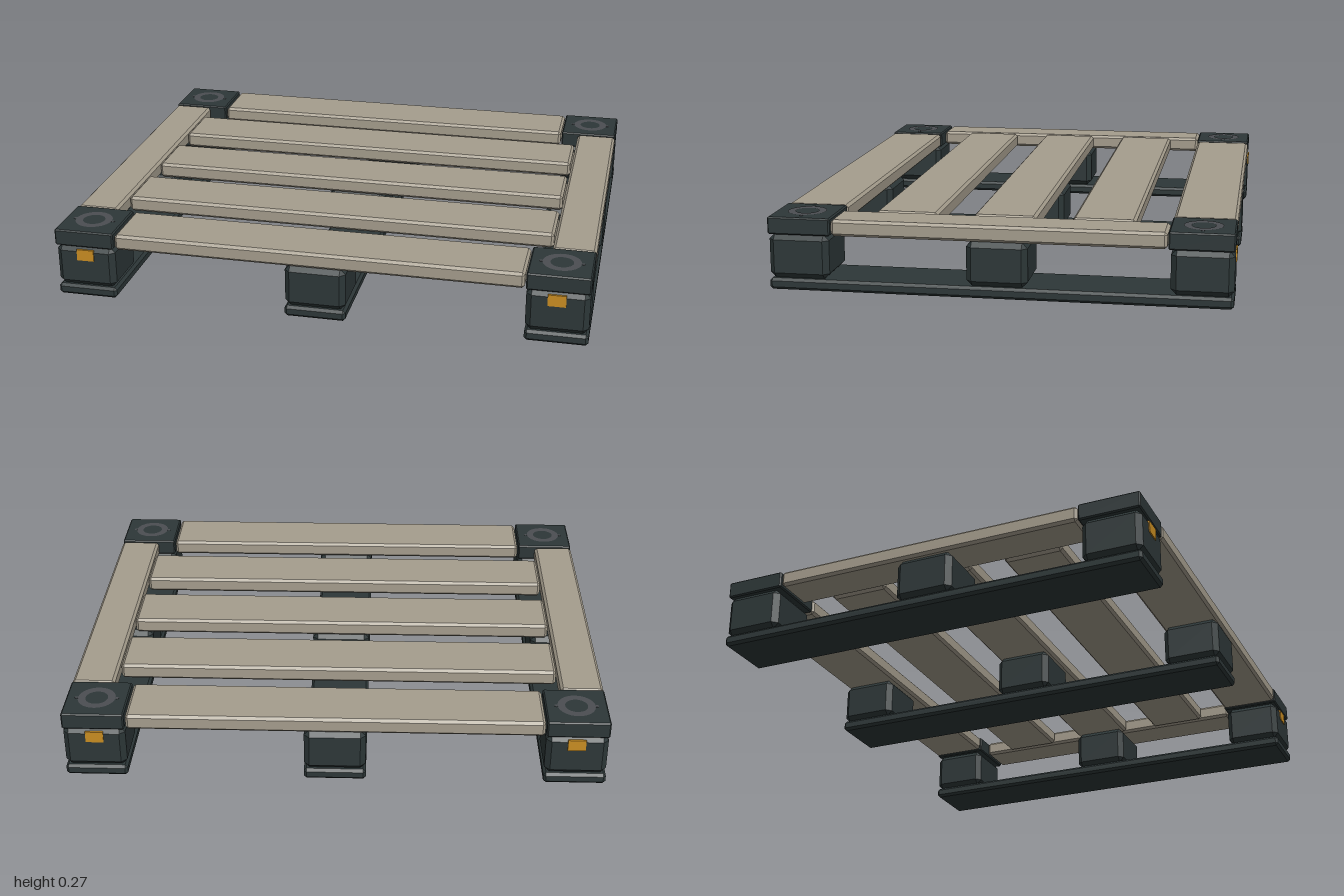
import * as THREE from 'three';
import { ConvexGeometry } from 'three/addons/geometries/ConvexGeometry.js';

const material = (name, color) => {
  const m = new THREE.MeshStandardMaterial({ color });
  m.name = name;
  return m;
};

// Box with flat chamfers of size c on every edge and corner
function chamferBox(w, h, d, c) {
  const points = [];
  for (const sx of [-1, 1]) for (const sy of [-1, 1]) for (const sz of [-1, 1]) {
    const x = w / 2, y = h / 2, z = d / 2;
    points.push(
      new THREE.Vector3(sx * x, sy * (y - c), sz * (z - c)),
      new THREE.Vector3(sx * (x - c), sy * y, sz * (z - c)),
      new THREE.Vector3(sx * (x - c), sy * (y - c), sz * z));
  }
  return new ConvexGeometry(points);
}

export function createModel() {
  const wood = material('weathered wood', 0xa59d8d);
  const dark = material('dark plastic', 0x2d3738);
  const grey = material('grey rim', 0x4b4e52);
  const amber = material('amber tag', 0xc98d22);

  const pallet = new THREE.Group();
  pallet.name = 'pallet';

  const add = (name, geometry, mat, x, y, z) => {
    const mesh = new THREE.Mesh(geometry, mat);
    mesh.name = name;
    mesh.position.set(x, y, z);
    pallet.add(mesh);
    return mesh;
  };

  // Three runners, each carrying three spacer blocks
  const runner = chamferBox(0.23, 0.042, 1.66, 0.01);
  const block = chamferBox(0.228, 0.162, 0.22, 0.02);
  for (const x of [-0.885, 0, 0.885]) {
    add('runner', runner, dark, x, 0.021, 0);
    for (const z of [-0.72, 0, 0.72]) add('spacerBlock', block, dark, x, 0.123, z);
  }

  // Deck: end boards, inner slats and side boards
  const endBoard = chamferBox(1.53, 0.06, 0.228, 0.01);
  const slat = chamferBox(1.67, 0.06, 0.228, 0.01);
  const sideBoard = chamferBox(0.16, 0.06, 1.196, 0.01);
  for (const s of [-1, 1]) {
    add('endBoard', endBoard, wood, 0, 0.235, s * 0.716);
    add('sideBoard', sideBoard, wood, s * 0.92, 0.235, 0);
  }
  for (const z of [-0.36, 0, 0.36]) add('deckSlat', slat, wood, 0, 0.235, z);

  // Corner caps with a stacking ring, two pins and an outward tag
  const cap = chamferBox(0.23, 0.064, 0.23, 0.005);
  const ring = new THREE.RingGeometry(0.042, 0.07, 32).rotateX(-Math.PI / 2);
  const pin = new THREE.CylinderGeometry(0.007, 0.007, 0.002, 10);
  const tag = new THREE.BoxGeometry(0.066, 0.044, 0.008);
  for (const sx of [-1, 1]) for (const sz of [-1, 1]) {
    const x = sx * 0.885, z = sz * 0.716;
    add('cornerCap', cap, dark, x, 0.236, z);
    add('stackingRing', ring, grey, x, 0.2695, z);
    for (const p of [-1, 1]) add('capPin', pin, grey, x + p * 0.075, 0.2685, z);
    add('tag', tag, amber, sx * 0.882, 0.172, sz * 0.83);
  }

  return pallet;
}
